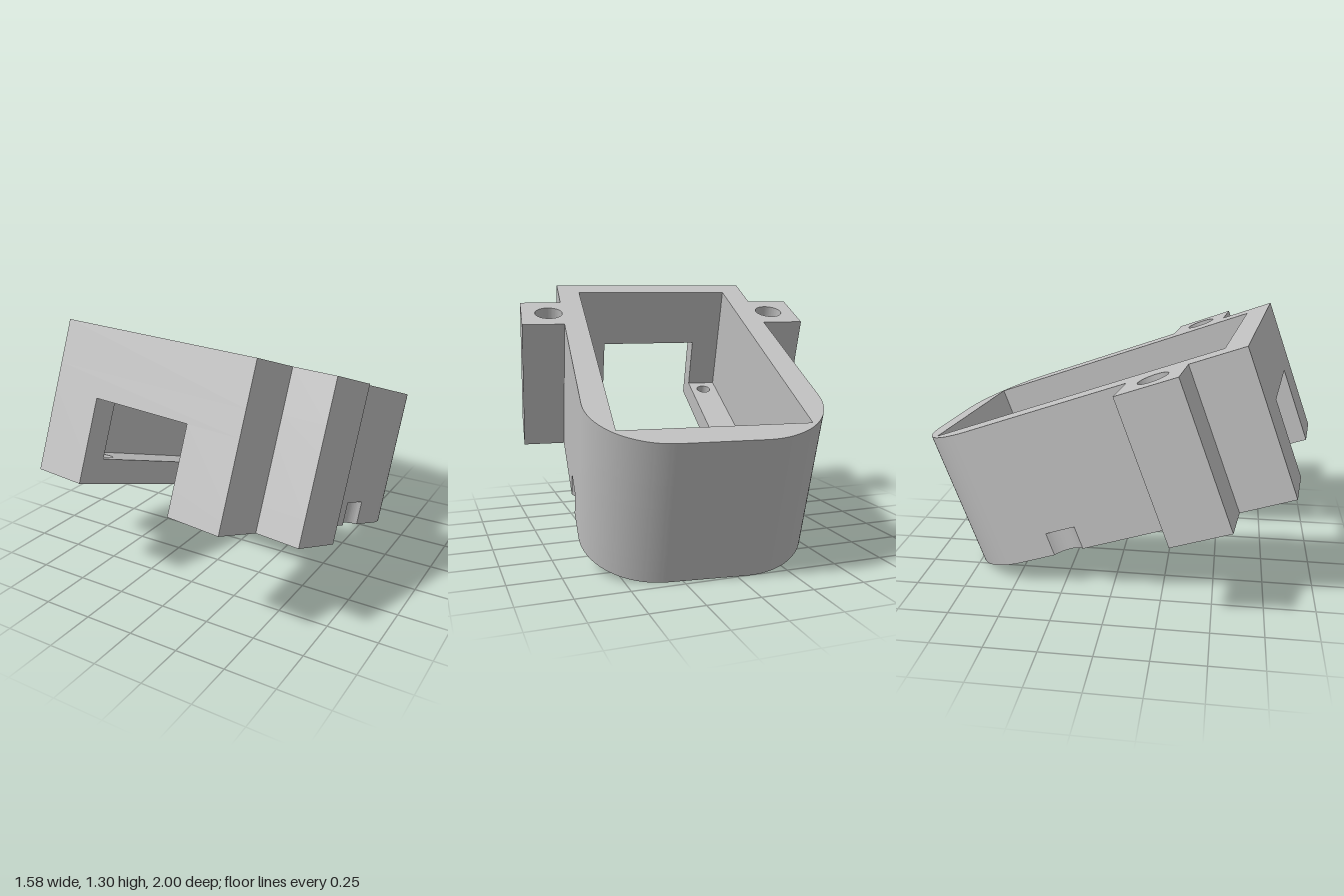
import * as THREE from 'three';
import { toCreasedNormals } from 'three/addons/utils/BufferGeometryUtils.js';

// Plan coordinates: x across, y towards the back (front is negative y).
const HALF = 0.544, FRONT = -1.09, BACK = 0.69, CORNER = 0.36;
const EAR = 0.762, EAR_FRONT = -0.82, EAR_BACK = -0.52;
const IN_X = 0.426, IN_FRONT = -0.97, IN_BACK = 0.57, SLOT = 0.27;
const BORE_X = 0.617, BORE_R = 0.108, NOTCH_Y = 0.063;
const RING_Y = 0.235, RING_R = 0.373, STEP_X = 0.25;

// Shallow side scallop, cut by a cylinder standing just outside the wall.
function notch(shape, side) {
  const d = BORE_X - HALF, h = Math.sqrt(BORE_R ** 2 - d ** 2);
  shape.lineTo(side * HALF, NOTCH_Y - side * h);
  const a = Math.atan2(-side * h, -side * d);
  const b = Math.atan2(side * h, -side * d);
  shape.absarc(side * BORE_X, NOTCH_Y, BORE_R, a, b, true);
}

// Outer outline with ears and rounded back; front is closed unless slotted.
function outline(slotted, notched) {
  const s = new THREE.Shape();
  if (slotted) s.moveTo(SLOT, FRONT).lineTo(HALF, FRONT);
  else s.moveTo(HALF, FRONT);
  s.lineTo(HALF, EAR_FRONT).lineTo(EAR, EAR_FRONT).lineTo(EAR, EAR_BACK).lineTo(HALF, EAR_BACK);
  if (notched) notch(s, 1);
  s.lineTo(HALF, BACK - CORNER);
  s.absarc(HALF - CORNER, BACK - CORNER, CORNER, 0, Math.PI / 2, false);
  s.lineTo(CORNER - HALF, BACK);
  s.absarc(CORNER - HALF, BACK - CORNER, CORNER, Math.PI / 2, Math.PI, false);
  if (notched) notch(s, -1);
  s.lineTo(-HALF, EAR_BACK).lineTo(-EAR, EAR_BACK).lineTo(-EAR, EAR_FRONT).lineTo(-HALF, EAR_FRONT);
  s.lineTo(-HALF, FRONT);
  return s;
}

// Round holes in mirrored pairs.
function drill(shape, x, y, r) {
  for (const side of [-1, 1]) {
    shape.holes.push(new THREE.Path().absarc(side * x, y, r, 0, Math.PI * 2, true));
  }
}

// Floor: keyhole opening made of a round hole and a slot running out the front.
function floorShape(screwR) {
  const s = outline(true, true);
  const dy = Math.sqrt(RING_R ** 2 - STEP_X ** 2), top = RING_Y - dy;
  s.lineTo(-SLOT, FRONT).lineTo(-SLOT, top).lineTo(-STEP_X, top);
  s.absarc(0, RING_Y, RING_R, Math.atan2(-dy, -STEP_X), Math.atan2(-dy, STEP_X), true);
  s.lineTo(SLOT, top);
  drill(s, BORE_X, -0.67, BORE_R);
  drill(s, 0.346, -0.046, screwR);
  drill(s, 0.346, -0.887, screwR);
  return s;
}

// Walls beside the front doorway.
function openWallShape() {
  const s = outline(true, false);
  s.lineTo(-SLOT, FRONT).lineTo(-SLOT, IN_FRONT).lineTo(-IN_X, IN_FRONT).lineTo(-IN_X, IN_BACK);
  s.lineTo(IN_X, IN_BACK).lineTo(IN_X, IN_FRONT).lineTo(SLOT, IN_FRONT);
  drill(s, BORE_X, -0.67, BORE_R);
  return s;
}

// Closed wall ring above the doorway.
function closedWallShape(boreR) {
  const s = outline(false, false);
  s.holes.push(new THREE.Path()
    .moveTo(-IN_X, IN_FRONT).lineTo(-IN_X, IN_BACK).lineTo(IN_X, IN_BACK).lineTo(IN_X, IN_FRONT));
  drill(s, BORE_X, -0.67, boreR);
  return s;
}

export function createModel() {
  const grey = new THREE.MeshStandardMaterial({ color: 0xc0c0c0 });
  grey.name = 'light grey';

  const housing = new THREE.Group();
  housing.name = 'housing';
  housing.position.set(0, 0, 0);

  // Stacked slices: name, bottom, top, plan shape.
  const slices = [
    ['floorUnderside', 0, 0.06, floorShape(0.071)],
    ['floorTop', 0.06, 0.12, floorShape(0.04)],
    ['lowerWalls', 0.12, 0.40, openWallShape()],
    ['middleWalls', 0.40, 0.52, closedWallShape(BORE_R)],
    ['upperWalls', 0.52, 0.725, closedWallShape(0.0725)],
  ];
  for (const [name, y0, y1, shape] of slices) {
    let geo = new THREE.ExtrudeGeometry(shape, { depth: y1 - y0, bevelEnabled: false, curveSegments: 32 });
    geo.rotateX(-Math.PI / 2);
    geo = toCreasedNormals(geo, 0.5);
    const mesh = new THREE.Mesh(geo, grey);
    mesh.name = name;
    mesh.position.set(0.0475, 0.262 + y0, 0);
    housing.add(mesh);
  }

  // The whole housing leans back and is turned slightly.
  housing.rotation.set(THREE.MathUtils.degToRad(-20.6), THREE.MathUtils.degToRad(-7), 0, 'YXZ');

  const model = new THREE.Group();
  model.name = 'mountingHousing';
  model.add(housing);
  return model;
}
